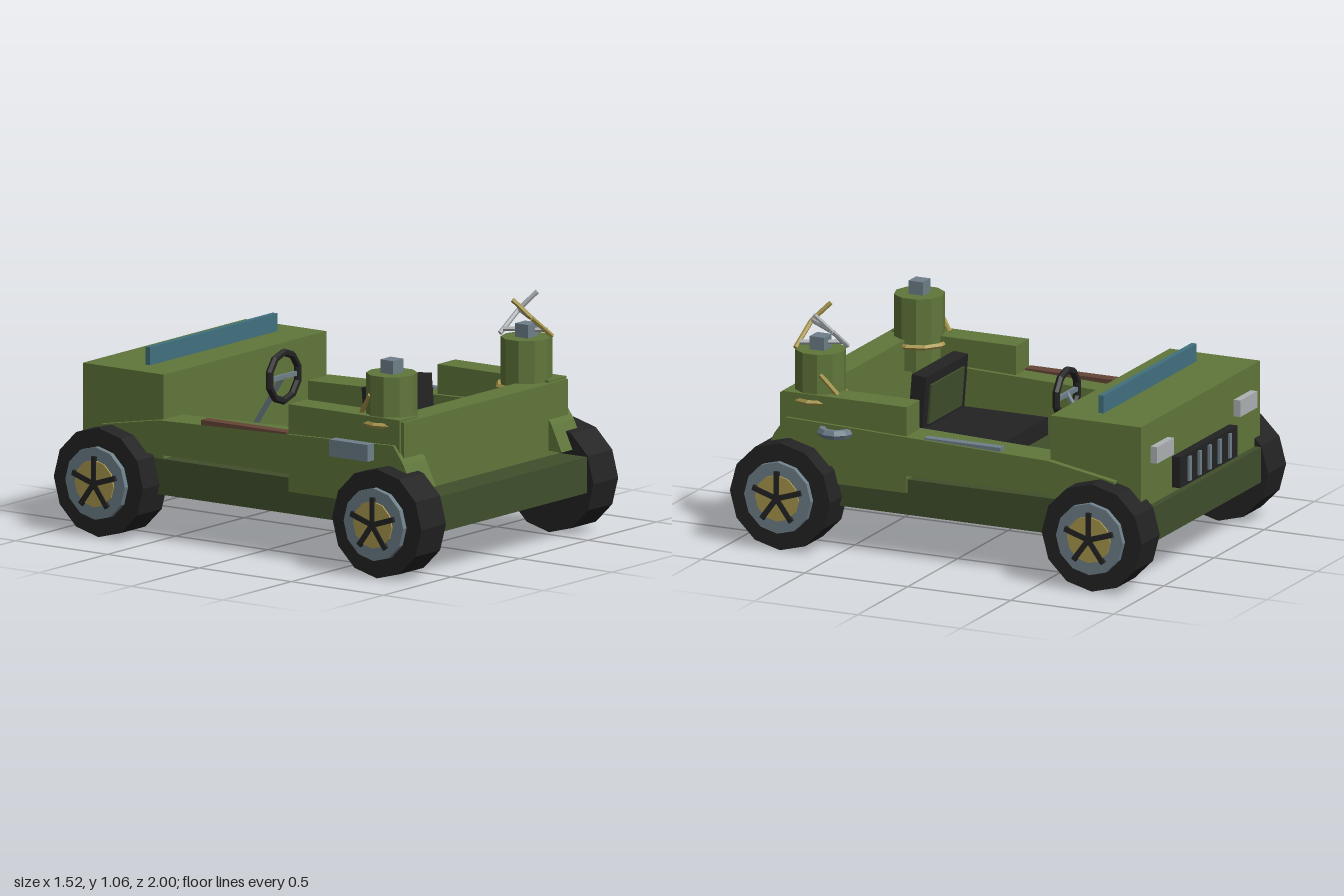
import * as THREE from 'three';

const mat = (name, color) => {
  const m = new THREE.MeshStandardMaterial({ color, flatShading: true });
  m.name = name;
  return m;
};

export function createModel() {
  const green = mat('olive green', 0x60763a);
  const darkGreen = mat('dark green', 0x404f2c);
  const black = mat('black', 0x232323);
  const grey = mat('steel grey', 0x6e7f89);
  const gold = mat('brass', 0xa8974c);
  const silver = mat('silver', 0xaeb2b4);
  const brown = mat('rust brown', 0x654536);
  const blue = mat('glass blue', 0x41707f);

  const model = new THREE.Group();
  model.name = 'jeep';

  const add = (name, geo, material, parent = model) => {
    const mesh = new THREE.Mesh(geo, material);
    mesh.name = name;
    parent.add(mesh);
    return mesh;
  };
  // Box given by its limits on each axis
  const box = (name, m, x0, x1, y0, y1, z0, z1, parent = model) => {
    const mesh = add(name, new THREE.BoxGeometry(Math.abs(x1 - x0), y1 - y0, z1 - z0), m, parent);
    mesh.position.set((x0 + x1) / 2, (y0 + y1) / 2, (z0 + z1) / 2);
    return mesh;
  };
  // Thin rod between two points
  const rod = (name, m, a, b, r = 0.011, sides = 6) => {
    const p = new THREE.Vector3(...a), q = new THREE.Vector3(...b);
    const mesh = add(name, new THREE.CylinderGeometry(r, r, p.distanceTo(q), sides), m);
    mesh.position.copy(p).add(q).multiplyScalar(0.5);
    mesh.quaternion.setFromUnitVectors(new THREE.Vector3(0, 1, 0), q.sub(p).normalize());
    return mesh;
  };
  const rods = (name, m, pts) => {
    for (let i = 1; i < pts.length; i++) rod(name, m, pts[i - 1], pts[i]);
  };

  // Chassis and body blocks
  box('chassis', darkGreen, -0.6, 0.6, 0.2, 0.36, -0.965, 0.965);
  box('hood', green, -0.595, 0.595, 0.36, 0.735, -0.935, -0.495);
  box('rearPanel', green, -0.6, 0.6, 0.36, 0.68, 0.69, 0.815);
  box('rearFloor', brown, -0.455, 0.455, 0.36, 0.37, 0.23, 0.69);
  box('windscreen', blue, -0.465, 0.465, 0.735, 0.815, -0.69, -0.665);

  // Side panels, drawn in (z, y) and extruded across x
  const sideShape = new THREE.Shape([
    [0.885, 0.383], [0.83, 0.5], [0.775, 0.577], [0.2, 0.558],
    [-0.5, 0.536], [-0.82, 0.48], [-0.82, 0.383],
  ].map(([z, y]) => new THREE.Vector2(-z, y)));
  const sideGeo = new THREE.ExtrudeGeometry(sideShape, { depth: 0.165, bevelEnabled: false });
  sideGeo.rotateY(Math.PI / 2);

  for (const s of [1, -1]) {
    add('sidePanel', sideGeo, green).position.x = s > 0 ? 0.46 : -0.625;
    box('rearSideBox', green, s * 0.48, s * 0.61, 0.3, 0.69, 0.195, 0.8);

    // Corner posts with caps and brass bands
    add('cornerPost', new THREE.CylinderGeometry(0.113, 0.113, 0.33, 10), green)
      .position.set(s * 0.493, 0.705, 0.67);
    box('postCap', grey, s * 0.456, s * 0.53, 0.87, 0.93, 0.635, 0.705);
    const ring = add('postBand', new THREE.TorusGeometry(0.127, 0.013, 5, 10), gold);
    ring.rotation.x = Math.PI / 2;
    ring.position.set(s * 0.493, 0.655, 0.67);
    rod('postStrap', gold, [s * 0.59, 0.78, 0.625], [s * 0.56, 0.69, 0.555]);

    // Headlights
    box('headlight', silver, s * 0.33, s * 0.5, 0.55, 0.625, -0.967, -0.93);
  }

  // Grille at the nose
  box('grille', black, -0.285, 0.285, 0.385, 0.525, -0.975, -0.93);
  for (let i = -2; i <= 2; i++) {
    box('grilleBar', grey, i * 0.1 - 0.011, i * 0.1 + 0.011, 0.4, 0.51, -0.985, -0.97);
  }

  // Strips on top of the side panels and fittings on the flanks
  box('rightStrip', grey, 0.57, 0.61, 0.53, 0.562, -0.26, 0.11);
  box('leftStrip', brown, -0.625, -0.57, 0.54, 0.566, -0.27, 0.195);
  box('sideCase', grey, -0.67, -0.62, 0.5, 0.575, 0.46, 0.67);
  const handle = add('sideHandle', new THREE.TorusGeometry(0.065, 0.023, 6, 5, Math.PI), grey);
  handle.rotation.set(Math.PI / 2, 0, -Math.PI / 2);
  handle.position.set(0.61, 0.54, 0.535);

  // Forked rig on one post
  rods('brassArm', gold, [[0.39, 1.05, 0.67], [0.43, 0.97, 0.745], [0.55, 0.875, 0.765]]);
  rods('silverArm', silver, [[0.598, 1.05, 0.65], [0.55, 0.97, 0.585], [0.44, 0.88, 0.565]]);
  rod('upperCrossBar', silver, [0.43, 0.972, 0.74], [0.55, 0.972, 0.59]);
  rod('lowerCrossBar', silver, [0.54, 0.9, 0.75], [0.45, 0.9, 0.575]);

  // Seat
  const seat = new THREE.Group();
  seat.name = 'seat';
  model.add(seat);
  box('seatCushion', black, -0.215, 0.215, 0.39, 0.47, -0.09, 0.34, seat);
  const back = new THREE.Group();
  back.name = 'seatBack';
  back.position.set(0, 0.4, 0.355);
  back.rotation.x = -0.08;
  seat.add(back);
  box('backrest', black, -0.21, 0.21, 0, 0.315, -0.035, 0.035, back);
  box('backrestPad', darkGreen, -0.165, 0.165, 0.09, 0.27, -0.044, -0.034, back);

  // Steering wheel and column
  const steering = add('steeringWheel', new THREE.TorusGeometry(0.108, 0.017, 6, 10), black);
  steering.rotation.z = Math.PI / 10;
  steering.position.set(0, 0.655, -0.285);
  rod('steeringColumn', grey, [0, 0.66, -0.285], [0, 0.36, -0.48], 0.013);
  box('steeringSpoke', grey, -0.1, 0.1, 0.645, 0.665, -0.295, -0.278);

  // Wheels, built along +x and turned for the other side
  const disc = (r, depth, sides) => new THREE.CylinderGeometry(r, r, depth, sides).rotateZ(Math.PI / 2);
  for (const s of [1, -1]) {
    for (const z of [0.757, -0.757]) {
      const wheel = new THREE.Group();
      wheel.name = 'wheel';
      wheel.position.set(s * 0.63, 0.243, z);
      wheel.rotation.y = s > 0 ? 0 : Math.PI;
      model.add(wheel);
      add('tyre', disc(0.243, 0.18, 12), black, wheel);
      add('rim', disc(0.162, 0.03, 12), grey, wheel).position.x = 0.1;
      add('hubDisc', disc(0.105, 0.012, 12), gold, wheel).position.x = 0.117;
      for (let i = 0; i < 5; i++) {
        const spoke = add('spoke', new THREE.BoxGeometry(0.02, 0.122, 0.024).translate(0, 0.061, 0), black, wheel);
        spoke.position.x = 0.119;
        spoke.rotation.x = i * Math.PI * 0.4;
      }
    }
  }
  return model;
}
